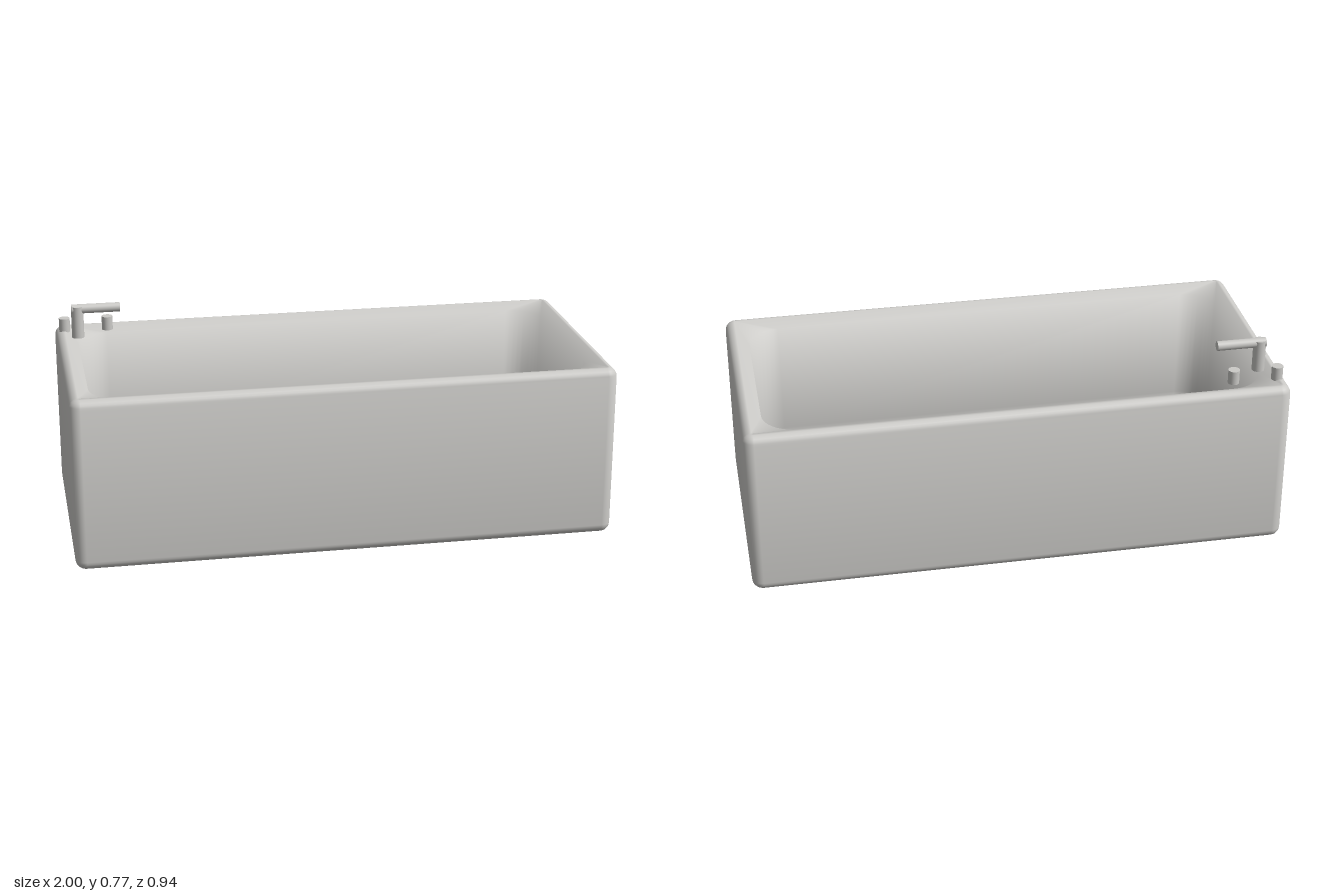
import * as THREE from 'three';

const HX = 1, HZ = 0.47, TOP = 0.648;

// One rounded-rectangle loop, inset from the outer footprint
function loop(inset, radius, y, steps = 10) {
  const points = [];
  const cx = HX - inset - radius, cz = HZ - inset - radius;
  const corners = [[1, 1], [-1, 1], [-1, -1], [1, -1]];
  corners.forEach(([sx, sz], q) => {
    for (let i = 0; i <= steps; i++) {
      const a = (q + i / steps) * Math.PI / 2;
      points.push([sx * cx + radius * Math.cos(a), y, sz * cz + radius * Math.sin(a)]);
    }
  });
  return points;
}

// Collapsed loop that closes a flat cap
const centre = (y, like) => like.map(() => [0, y, 0]);

// Skin the loops; softened loops get normals leaning upward for a pillowy edge
function skin(loops, softened) {
  const n = loops[0].length, index = [];
  for (let i = 0; i < loops.length - 1; i++) {
    for (let j = 0; j < n; j++) {
      const a = i * n + j, b = i * n + (j + 1) % n;
      index.push(a, a + n, b, b, a + n, b + n);
    }
  }
  const geometry = new THREE.BufferGeometry();
  geometry.setAttribute('position', new THREE.Float32BufferAttribute(loops.flat(2), 3));
  geometry.setIndex(index);
  geometry.computeVertexNormals();
  const normal = geometry.attributes.normal;
  for (const [points, lean] of softened) {
    const start = loops.indexOf(points) * n;
    for (let k = start; k < start + n; k++) normal.setY(k, normal.getY(k) + lean);
  }
  geometry.normalizeNormals();
  return geometry;
}

function tubGeometry() {
  const R = 0.035, N = 6;
  const arc = [...Array(N + 1).keys()].map((i) => i / N * Math.PI / 2);

  // Outer shell: rounded bottom edge, walls, rounded top edge
  const base = arc.map((a) => {
    const inset = R * (1 - Math.sin(a));
    return loop(inset, 0.04 - inset, R * (1 - Math.cos(a)));
  });
  const crown = arc.map((a) => {
    const inset = R * (1 - Math.cos(a));
    return loop(inset, 0.04 - inset, TOP - R * (1 - Math.sin(a)));
  });

  // Rim slopes gently inward to the lip of the opening
  const lip = loop(0.08, 0.12, 0.623);

  // Upright basin walls with a filleted floor
  const floor = 0.09, F = 0.09;
  const basin = arc.map((a) => {
    const inset = F * (1 - Math.cos(a));
    return loop(0.081 + inset, 0.12 - inset * 0.6, floor + F * (1 - Math.sin(a)));
  });

  const loops = [centre(0, lip), ...base, ...crown, lip, ...basin, centre(floor, lip)];
  return skin(loops, [[crown[0], 0.25], [lip, 1.5]]);
}

export function createModel() {
  const group = new THREE.Group();
  const enamel = new THREE.MeshStandardMaterial({ color: 0xcbcac7 });
  enamel.name = 'pale grey enamel';

  const add = (parent, name, geometry, x = 0, y = 0, z = 0) => {
    const mesh = new THREE.Mesh(geometry, enamel);
    mesh.name = name;
    mesh.position.set(x, y, z);
    parent.add(mesh);
    return mesh;
  };
  const rod = (radius, length) => new THREE.CylinderGeometry(radius, radius, length, 32);

  add(group, 'tub', tubGeometry());

  // Tap: upright post with a horizontal spout
  const tap = new THREE.Group();
  tap.name = 'tap';
  group.add(tap);
  add(tap, 'tapPost', rod(0.0235, 0.123), -0.918, 0.7035, -0.294);
  const spout = add(tap, 'spout', rod(0.018, 0.185), -0.8475, 0.754, -0.294);
  spout.rotation.z = Math.PI / 2;

  // Pair of control knobs
  for (const [name, x] of [['rightKnob', -0.965], ['leftKnob', -0.8]]) {
    add(tap, name, rod(0.021, 0.053), x, 0.6685, -0.376);
  }
  return group;
}
